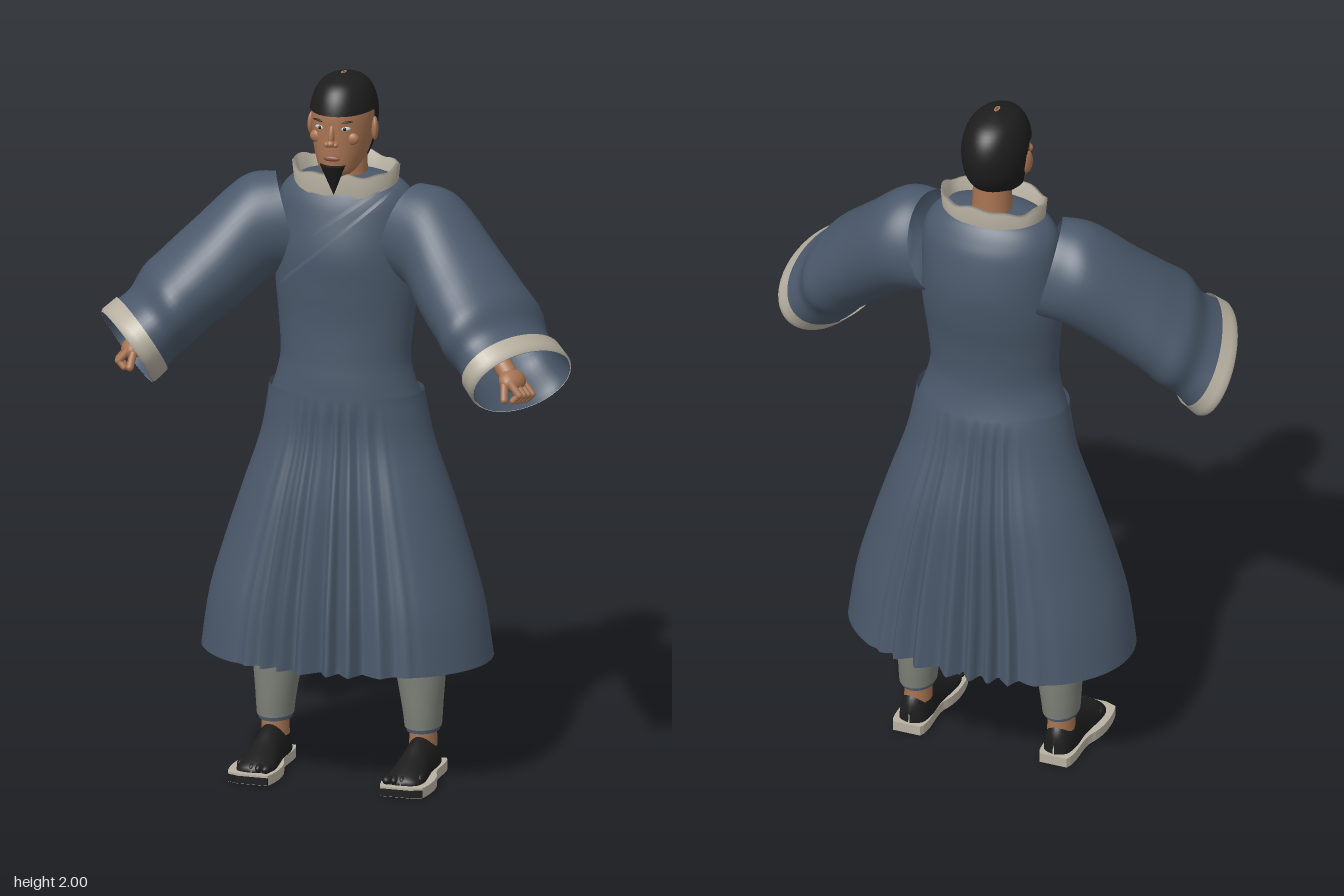
import * as THREE from 'three';

const paint = (name, color) => new THREE.MeshStandardMaterial({ name, color, side: THREE.DoubleSide });
const robe = paint('robe blue', 0x4b596b);
const cream = paint('cream trim', 0xb9b2a3);
const grey = paint('trouser grey', 0x7d8078);
const skin = paint('skin', 0xa87452);
const black = paint('black', 0x1d1d1e);
const lip = paint('lip', 0x8a5243);
const white = paint('eye white', 0xc9c9c6);

const lerp = THREE.MathUtils.lerp, smooth = THREE.MathUtils.smoothstep;

// Smooth blend through a list of cross-sections, t from 0 to 1
function at(rows, t) {
  const n = rows.length - 1, f = Math.min(Math.max(t, 0), 1) * n;
  const i = Math.min(Math.floor(f), n - 1), s = f - i;
  const [a, b, c, d] = [rows[Math.max(i - 1, 0)], rows[i], rows[i + 1], rows[Math.min(i + 2, n)]];
  return b.map((v, k) => v + 0.5 * s * (c[k] - a[k] + s * (2 * a[k] - 5 * v + 4 * c[k] - d[k] + s * (3 * (v - c[k]) + d[k] - a[k]))));
}
// Cross-section at a given first value (rows ascend in it)
function atHeight(rows, y) {
  let lo = 0, hi = 1;
  for (let i = 0; i < 24; i++) {
    const m = (lo + hi) / 2;
    if (at(rows, m)[0] < y) lo = m; else hi = m;
  }
  return at(rows, lo);
}
// Surface closed around u and open along v
function loft(nu, nv, fn, closed = true) {
  const pos = [], idx = [], cols = closed ? nu : nu + 1;
  for (let j = 0; j <= nv; j++) for (let i = 0; i < cols; i++) pos.push(...fn(i / nu, j / nv));
  for (let j = 0; j < nv; j++) for (let i = 0; i < nu; i++) {
    const a = j * cols + i, b = j * cols + (i + 1) % cols, c = a + cols, d = b + cols;
    idx.push(a, b, d, a, d, c);
  }
  const g = new THREE.BufferGeometry();
  g.setAttribute('position', new THREE.Float32BufferAttribute(pos, 3));
  g.setIndex(idx);
  g.computeVertexNormals();
  return g;
}
function add(parent, name, geo, mat, pos = [0, 0, 0], scale = [1, 1, 1], rot = [0, 0, 0]) {
  const m = new THREE.Mesh(geo, mat);
  m.name = name;
  m.position.set(...pos); m.scale.set(...scale); m.rotation.set(...rot);
  parent.add(m);
  return m;
}
function limb(parent, name, mat, a, b, r) {
  const A = new THREE.Vector3(...a), d = new THREE.Vector3(...b).sub(A);
  const m = add(parent, name, new THREE.CapsuleGeometry(r, d.length(), 4, 12), mat);
  m.position.copy(A).addScaledVector(d, 0.5);
  m.quaternion.setFromUnitVectors(new THREE.Vector3(0, 1, 0), d.normalize());
}
// Oval ring point from a row [y, half width, back z, front z]
function oval([y, rx, zb, zf], u, grow = 0) {
  const a = u * Math.PI * 2;
  return [(rx + grow) * Math.sin(a), y, (zf + zb) / 2 + ((zf - zb) / 2 + grow) * Math.cos(a)];
}
// Front point of an oval body at x, y
function front(rows, x, y, out) {
  const [, rx, zb, zf] = atHeight(rows, y);
  return [x, y, (zf + zb) / 2 + (zf - zb) / 2 * Math.sqrt(Math.max(0, 1 - (x / rx) ** 2)) + out];
}

const SKIRT = [[0.345, 0.408, -0.34, 0.25], [0.5, 0.385, -0.318, 0.232], [0.65, 0.343, -0.293, 0.2], [0.8, 0.295, -0.265, 0.165],
  [0.95, 0.245, -0.218, 0.122], [1.06, 0.223, -0.192, 0.11], [1.1, 0.218, -0.18, 0.107]];
const TORSO = [[1.08, 0.212, -0.178, 0.106], [1.14, 0.192, -0.162, 0.104], [1.2, 0.182, -0.156, 0.1], [1.3, 0.19, -0.166, 0.098],
  [1.4, 0.2, -0.187, 0.105], [1.5, 0.198, -0.198, 0.11], [1.6, 0.196, -0.185, 0.09], [1.65, 0.185, -0.165, 0.075],
  [1.685, 0.155, -0.142, 0.055], [1.7, 0.11, -0.12, 0.025], [1.708, 0.055, -0.1, 0]];
const HEAD = [[1.718, 0.012, 0.03, 0.075], [1.735, 0.046, -0.01, 0.1], [1.77, 0.067, -0.08, 0.106], [1.81, 0.079, -0.117, 0.107],
  [1.86, 0.086, -0.132, 0.106], [1.905, 0.085, -0.132, 0.105], [1.95, 0.072, -0.115, 0.088], [1.98, 0.048, -0.08, 0.056], [1.997, 0.002, -0.02, 0]];
// Sleeve rows: centre, forward half axis, upward half axis
const SLEEVE = [[0.165, 1.55, -0.045, -0.03, 0.02, 0.115, 0.04, 0.14, 0], [0.25, 1.533, -0.025, -0.04, 0.02, 0.135, 0.045, 0.138, 0],
  [0.355, 1.435, 0.045, -0.06, 0.03, 0.15, 0.062, 0.118, 0], [0.45, 1.345, 0.105, -0.07, 0.04, 0.172, 0.068, 0.105, 0],
  [0.505, 1.275, 0.138, -0.068, 0.045, 0.163, 0.068, 0.094, 0], [0.565, 1.215, 0.17, -0.068, 0.05, 0.168, 0.072, 0.094, 0]];

function sleevePoint(u, t, k) {
  const r = at(SLEEVE, t), c = k * Math.cos(u * Math.PI * 2), s = k * Math.sin(u * Math.PI * 2);
  return [0, 1, 2].map(i => r[i] + r[i + 3] * c + r[i + 6] * s);
}

function buildRobe(g) {
  add(g, 'robeBodice', loft(64, 44, (u, v) => oval(at(TORSO, v), u)), robe);
  // Skirt with sharp pleats in the middle of the front and back
  add(g, 'pleatedSkirt', loft(288, 30, (u, v) => {
    const row = at(SKIRT, v), a = u * Math.PI * 2;
    const mask = 1 - smooth(Math.abs(Math.sin(a)), 0.3, 0.72);
    const wave = Math.abs(((u * 36 + 0.25 * Math.sin(u * 47)) % 1 + 1) % 1 - 0.5) * 2;
    const depth = (0.014 + 0.034 * smooth(1.05 - row[0], 0, 0.7)) * smooth(1.1 - row[0], 0, 0.1);
    return oval(row, u, -depth * mask * wave);
  }), robe);
  // Crossed lapel: two overlapping edges running down to the right side
  for (const [x0, y0, x1, y1, w] of [[0.13, 1.655, -0.17, 1.39, 0.045], [0.11, 1.672, -0.06, 1.55, 0.035]])
    add(g, 'crossedLapel', loft(4, 24, (u, v) => {
      const x = lerp(x0, x1, v), y = lerp(y0, y1, v);
      return front(TORSO, x + w * u * 0.6, y + w * u * 0.8, 0.006 * (1 - u));
    }, false), robe);
  // Standing collar, lower at the front
  const band = [[1.672, 0.142], [1.73, 0.148], [1.733, 0.138], [1.68, 0.128]];
  add(g, 'collar', loft(64, 3, (u, v) => {
    const [y, r] = band[Math.round(v * 3)], a = u * Math.PI * 2;
    const ripple = 0.004 * Math.sin(a * 9) + 0.006 * Math.cos(a * 4);
    return [r * Math.sin(a) * 1.02, y - 0.008 * Math.cos(a) + ripple, -0.032 + (r - 0.036) * Math.cos(a)];
  }), cream);
}

function buildHead(parent) {
  const g = new THREE.Group();
  g.name = 'head';
  parent.add(g);
  add(g, 'face', loft(40, 32, (u, v) => oval(at(HEAD, v), u)), skin);
  add(g, 'neck', new THREE.CylinderGeometry(0.052, 0.06, 0.2, 24), skin, [0, 1.7, -0.045]);
  // Close cap: straight over the brow, low over the nape
  add(g, 'cap', loft(64, 20, (u, v) => {
    const low = lerp(1.765, 1.902, smooth(Math.cos(u * Math.PI * 2), -0.12, 0.12));
    return oval(atHeight(HEAD, lerp(low, 1.997, 1 - (1 - v) ** 1.6)), u, 0.005);
  }), black);
  const ball = new THREE.SphereGeometry(1, 20, 12);
  for (const s of [-1, 1]) {
    add(g, 'ear', ball, skin, [s * 0.089, 1.845, -0.008], [0.01, 0.034, 0.02], [0, s * 0.3, 0]);
    add(g, 'eyeWhite', ball, white, front(HEAD, s * 0.036, 1.866, 0), [0.015, 0.006, 0.004], [0, s * 0.25, s * 0.1]);
    add(g, 'iris', ball, black, front(HEAD, s * 0.035, 1.866, 0.002), [0.005, 0.005, 0.004]);
    add(g, 'brow', ball, black, front(HEAD, s * 0.038, 1.885, 0), [0.02, 0.0028, 0.004], [0, s * 0.25, s * 0.12]);
    add(g, 'cheekbone', ball, skin, front(HEAD, s * 0.048, 1.835, -0.008), [0.022, 0.018, 0.012]);
    add(g, 'nostril', ball, skin, [s * 0.012, 1.822, 0.108], [0.009, 0.008, 0.01]);
  }
  add(g, 'noseBridge', ball, skin, [0, 1.848, 0.105], [0.009, 0.032, 0.012], [-0.2, 0, 0]);
  add(g, 'noseTip', ball, skin, [0, 1.826, 0.113], [0.012, 0.01, 0.013]);
  add(g, 'lips', ball, lip, [0, 1.782, 0.106], [0.024, 0.008, 0.007]);
  add(g, 'goatee', new THREE.ConeGeometry(0.036, 0.09, 16), black, [0, 1.717, 0.089], [1, 1, 0.75], [Math.PI + 0.1, 0, 0]);
}

function buildArm(g) {
  add(g, 'sleeve', loft(48, 40, (u, v) => sleevePoint(u, v, 0.98 + 0.025 * Math.sin(v * 22) * smooth(v, 0.45, 0.65))), robe);
  add(g, 'cuffBand', loft(48, 4, (u, v) => sleevePoint(u, lerp(0.87, 1.002, v), 1.035 - 0.04 * (v === 1))), cream);
  // Forearm and half-closed hand inside the cuff
  limb(g, 'forearm', skin, [0.4, 1.36, 0.08], [0.525, 1.235, 0.175], 0.027);
  add(g, 'palm', new THREE.SphereGeometry(1, 20, 14), skin, [0.542, 1.22, 0.187], [0.035, 0.028, 0.046], [0, -0.3, -0.6]);
  for (let i = 0; i < 4; i++) {
    const z = 0.155 + i * 0.021, x = 0.562 - i * 0.006;
    limb(g, 'finger', skin, [x, 1.21 + i * 0.004, z], [x + 0.028, 1.178 + i * 0.004, z + 0.006], 0.0105);
    limb(g, 'fingertip', skin, [x + 0.028, 1.178 + i * 0.004, z + 0.006], [x + 0.012, 1.162 + i * 0.004, z + 0.008], 0.0095);
  }
  limb(g, 'thumb', skin, [0.53, 1.215, 0.222], [0.535, 1.178, 0.24], 0.011);
}

function buildLeg(g) {
  // Trouser rows: y, centre x, half width, half depth
  const leg = [[0.14, 0.211, 0.05, 0.064], [0.2, 0.209, 0.056, 0.068], [0.34, 0.199, 0.073, 0.073], [0.6, 0.16, 0.09, 0.088], [0.95, 0.1, 0.1, 0.1]];
  add(g, 'trouserLeg', loft(32, 24, (u, v) => {
    const [y, x, rx, rz] = at(leg, v), a = u * Math.PI * 2;
    return [x + rx * Math.sin(a), y, -0.062 + rz * Math.cos(a)];
  }), grey);
  add(g, 'ankleWrap', new THREE.CylinderGeometry(0.047, 0.045, 0.02, 24, 1, true), robe, [0.211, 0.138, -0.062], [1, 1, 1.25]);
  add(g, 'ankle', new THREE.CylinderGeometry(0.036, 0.038, 0.09, 20), skin, [0.211, 0.125, -0.062], [1, 1, 1.25]);
  // Foot rows: z, half width, height
  const foot = [[-0.126, 0.002, 0.03], [-0.11, 0.034, 0.075], [-0.06, 0.044, 0.096], [0, 0.043, 0.086], [0.06, 0.05, 0.058], [0.115, 0.054, 0.037], [0.15, 0.04, 0.02], [0.16, 0.002, 0.005]];
  add(g, 'sock', loft(28, 28, (u, v) => {
    const [z, w, h] = at(foot, v), a = u * Math.PI * 2;
    return [0.213 + w * Math.cos(a), 0.027 + h * Math.max(0, Math.sin(a)), z];
  }), black);
  const toe = new THREE.SphereGeometry(1, 12, 8);
  for (let i = 0; i < 5; i++)
    add(g, 'toe', toe, black, [0.173 + i * 0.021, 0.039, 0.148 - i * i * 0.0025], [i ? 0.011 : 0.014, 0.013, 0.02]);
  // Flat sandal sole, waisted at the arch
  const s = new THREE.Shape();
  s.moveTo(-0.04, -0.135);
  s.lineTo(0.04, -0.135);
  s.bezierCurveTo(0.06, -0.1, 0.04, -0.03, 0.055, 0.01);
  s.bezierCurveTo(0.075, 0.05, 0.075, 0.12, 0.062, 0.165);
  s.lineTo(0.03, 0.178);
  s.lineTo(-0.055, 0.178);
  s.bezierCurveTo(-0.075, 0.12, -0.07, 0.05, -0.05, 0.01);
  s.bezierCurveTo(-0.04, -0.03, -0.06, -0.1, -0.04, -0.135);
  const sole = new THREE.ExtrudeGeometry(s, { depth: 0.028, bevelEnabled: false, curveSegments: 8 });
  add(g, 'sandalSole', sole, cream, [0.216, 0.028, 0], [1, 1, 1], [Math.PI / 2, 0, 0]);
  add(g, 'sandalToeEdge', new THREE.BoxGeometry(0.088, 0.02, 0.006), black, [0.204, 0.012, 0.179]);
  add(g, 'sandalToeEdge', new THREE.BoxGeometry(0.034, 0.02, 0.006), black, [0.262, 0.012, 0.172], [1, 1, 1], [0, 0.38, 0]);
}

export function createModel() {
  const model = new THREE.Group();
  model.name = 'robedMan';
  buildRobe(model);
  buildHead(model);
  for (const side of [1, -1]) {
    const arm = new THREE.Group(), leg = new THREE.Group();
    arm.name = side > 0 ? 'leftArm' : 'rightArm';
    leg.name = side > 0 ? 'leftLeg' : 'rightLeg';
    arm.scale.x = leg.scale.x = side;
    buildArm(arm);
    buildLeg(leg);
    model.add(arm, leg);
  }
  return model;
}
